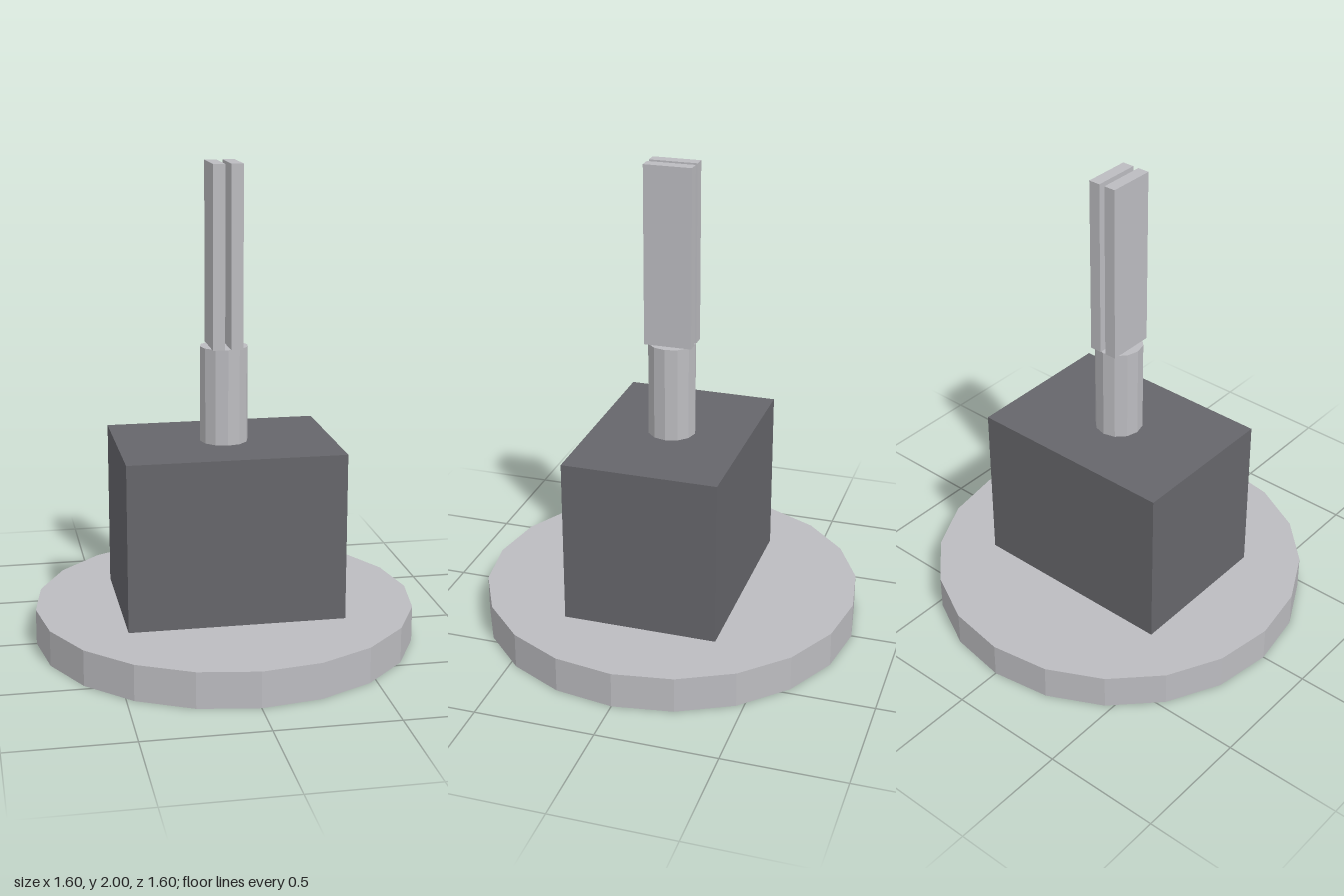
import * as THREE from 'three';

export function createModel() {
  const model = new THREE.Group();
  const lightMetal = new THREE.MeshStandardMaterial({ name: 'light metal', color: 0xbcbcc0, flatShading: true });
  const darkMetal = new THREE.MeshStandardMaterial({ name: 'dark metal', color: 0x66666b, flatShading: true });

  // Adds a part whose underside rests at the given height
  function add(name, geometry, material, x, bottom, height) {
    const mesh = new THREE.Mesh(geometry, material);
    mesh.name = name;
    mesh.position.set(x, bottom + height / 2, 0);
    model.add(mesh);
  }

  // Round foot, housing and neck
  add('base', new THREE.CylinderGeometry(0.8, 0.8, 0.15, 20), lightMetal, 0, 0, 0.15);
  add('housing', new THREE.BoxGeometry(0.9, 0.7, 0.65), darkMetal, 0, 0.15, 0.7);
  add('neck', new THREE.CylinderGeometry(0.1, 0.1, 0.4, 12), lightMetal, 0, 0.85, 0.4);

  // Pair of upright prongs with a narrow slot between them
  for (const [name, side] of [['leftProng', 1], ['rightProng', -1]]) {
    add(name, new THREE.BoxGeometry(0.05, 0.75, 0.2), lightMetal, side * 0.0375, 1.25, 0.75);
  }

  return model;
}
